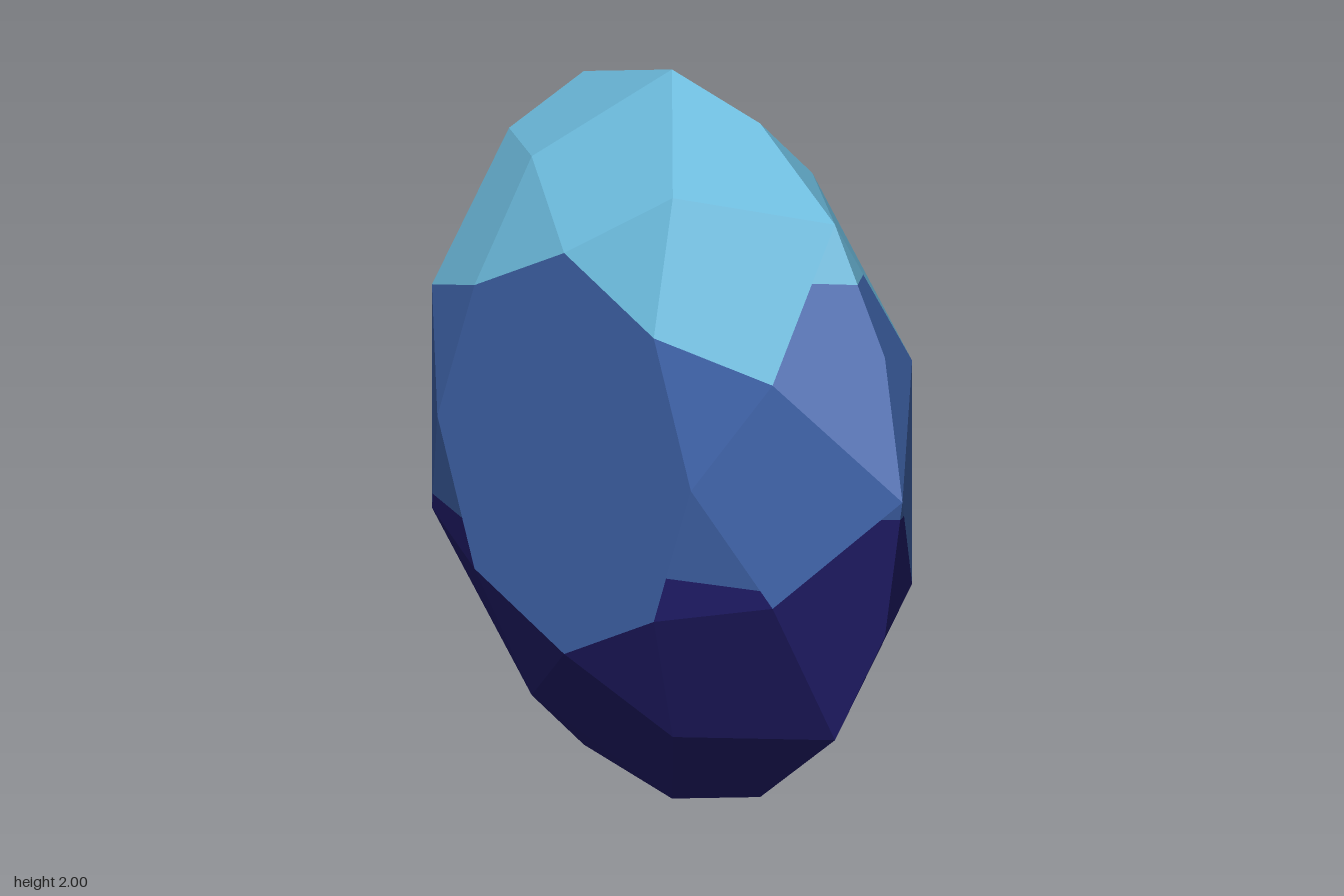
import * as THREE from 'three';

const TAU = Math.PI * 2;

// Point on a ring around the gem's axis; step counts sixteenths of a turn from +x
const ring = (radius, z) => (step) => {
  const a = (step * TAU) / 16;
  return new THREE.Vector3(radius * Math.cos(a), 1 + radius * Math.sin(a), z);
};
const girdle = ring(1, 0);
const middle = ring(0.8, 0.236);
const table = ring(0.55, 0.365);

// Keep the part of a polygon above (sign 1) or below (sign -1) a height
function clip(poly, height, sign) {
  const out = [];
  poly.forEach((a, i) => {
    const b = poly[(i + 1) % poly.length];
    const da = (a.y - height) * sign, db = (b.y - height) * sign;
    if (da >= 0) out.push(a);
    if (da * db < 0) out.push(a.clone().lerp(b, da / (da - db)));
  });
  return out;
}

// One normal for a whole facet
function facetNormal(poly) {
  const n = new THREE.Vector3();
  for (let i = 1; i < poly.length - 1; i++) {
    n.add(poly[i].clone().sub(poly[0]).cross(poly[i + 1].clone().sub(poly[0])));
  }
  return n.normalize();
}

export function createModel() {
  const tiers = {
    upperFacets: { color: 0x6cbbdd, name: 'sky blue' },
    middleFacets: { color: 0x4166ae, name: 'royal blue' },
    lowerFacets: { color: 0x231f70, name: 'deep indigo' },
  };
  for (const t of Object.values(tiers)) Object.assign(t, { position: [], normal: [] });

  function addPolygon(tier, poly, n) {
    for (let i = 1; i < poly.length - 1; i++) {
      for (const p of [poly[0], poly[i], poly[i + 1]]) {
        tier.position.push(p.x, p.y, p.z);
        tier.normal.push(n.x, n.y, n.z);
      }
    }
  }

  // Split a facet into the three colour tiers, on the front and mirrored on the back
  function addFacet(poly, low, high) {
    for (const side of [1, -1]) {
      const pts = poly.map((p) => new THREE.Vector3(p.x, p.y, p.z * side));
      for (let i = 1; i < pts.length - 1; i++) {
        const tri = [pts[0], pts[i], pts[i + 1]];
        const n = facetNormal(pts).multiplyScalar(side);
        if (side < 0) tri.reverse();
        addPolygon(tiers.upperFacets, clip(tri, high, 1), n);
        addPolygon(tiers.middleFacets, clip(clip(tri, high, -1), low, 1), n);
        addPolygon(tiers.lowerFacets, clip(tri, low, -1), n);
      }
    }
  }

  // Flat octagonal table
  addFacet([0, 2, 4, 6, 8, 10, 12, 14].map(table), 0, 2);

  for (let s = 0; s < 16; s += 2) {
    // Kite facet from table corner to girdle
    addFacet([middle(s - 1), girdle(s), middle(s + 1), table(s)], 0.693, 1.307);
    // Star facet along the table edge
    addFacet([table(s), middle(s + 1), table(s + 2)], 0.74, 1.389);
    // Girdle facet along the rim
    addFacet([middle(s + 1), girdle(s), girdle(s + 1), girdle(s + 2)], 0.95, 1.56);
  }

  const gem = new THREE.Group();
  gem.name = 'gem';
  for (const [name, t] of Object.entries(tiers)) {
    const geometry = new THREE.BufferGeometry();
    geometry.setAttribute('position', new THREE.Float32BufferAttribute(t.position, 3));
    geometry.setAttribute('normal', new THREE.Float32BufferAttribute(t.normal, 3));
    const material = new THREE.MeshStandardMaterial({ color: t.color });
    material.name = t.name;
    const mesh = new THREE.Mesh(geometry, material);
    mesh.name = name;
    gem.add(mesh);
  }
  return gem;
}
